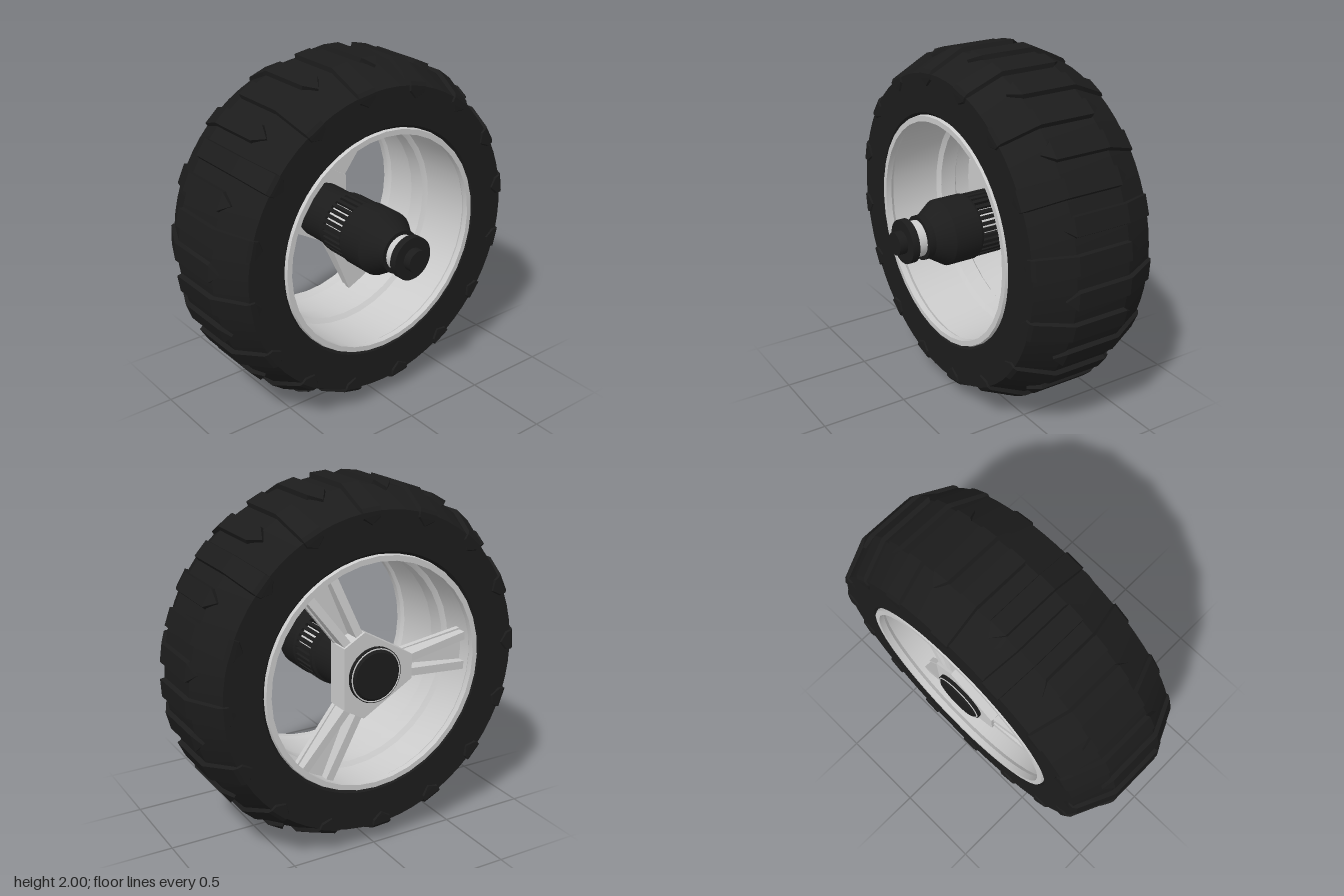
import * as THREE from 'three';
import { toCreasedNormals } from 'three/addons/utils/BufferGeometryUtils.js';

const MID = -0.133; // z of the tyre's middle plane

export function createModel() {
  const grey = new THREE.MeshStandardMaterial({ color: 0xcccccc });
  const black = new THREE.MeshStandardMaterial({ color: 0x1c1c1c });
  const wheel = new THREE.Group();
  wheel.name = 'wheel';
  wheel.position.y = 1;

  function add(parent, name, geometry, material) {
    const mesh = new THREE.Mesh(geometry, material);
    mesh.name = name;
    parent.add(mesh);
    return mesh;
  }

  // Turned part around the z axis; profile points are [radius, z]
  function turned(profile, segments) {
    const pts = profile.map(([r, z]) => new THREE.Vector2(r, z));
    return toCreasedNormals(new THREE.LatheGeometry(pts, segments).rotateX(Math.PI / 2), 0.4);
  }

  // Tapered bar along +x; each end is [yMin, yMax, zMin, zMax]
  function bar(x0, x1, end0, end1) {
    const g = new THREE.BoxGeometry(1, 1, 1);
    const p = g.attributes.position;
    for (let i = 0; i < p.count; i++) {
      const e = p.getX(i) < 0 ? end0 : end1;
      p.setXYZ(i, p.getX(i) < 0 ? x0 : x1, e[p.getY(i) < 0 ? 0 : 1], e[p.getZ(i) < 0 ? 2 : 3]);
    }
    return toCreasedNormals(g, 0.3);
  }

  // Tread lug: stations [z, radius, halfWidth] from the crown tip, over the shoulder, down the sidewall
  function lugGeometry() {
    const rows = [
      [-0.225, 0.968, 0], [-0.165, 1, 0.05], [0.165, 1, 0.05], [0.365, 0.908, 0.055],
      [0.38, 0.888, 0.055], [0.38, 0.86, 0.05], [0.377, 0.82, 0],
    ];
    const pos = [], index = [];
    rows.forEach(([z, r, w], i) => {
      const baseR = 0.6 + (r - 0.6) * 0.92, baseZ = z * 0.93;
      const corners = [[baseR, baseZ, -w * 1.15], [r, z, -w], [r, z, w], [baseR, baseZ, w * 1.15]];
      for (const [cr, cz, cw] of corners) pos.push(cr * Math.cos(cw / cr), cr * Math.sin(cw / cr), cz);
      if (i === rows.length - 1) return;
      for (let k = 0; k < 3; k++) {
        const a = i * 4 + k;
        index.push(a, a + 1, a + 5, a, a + 5, a + 4);
      }
    });
    const g = new THREE.BufferGeometry();
    g.setAttribute('position', new THREE.Float32BufferAttribute(pos, 3));
    g.setIndex(index);
    return toCreasedNormals(g, 0.3);
  }

  // Tyre carcass
  const tyre = new THREE.Group();
  tyre.name = 'tyre';
  tyre.position.z = MID;
  wheel.add(tyre);
  add(tyre, 'tyreBody', turned([
    [0.65, -0.35], [0.67, -0.37], [0.885, -0.37], [0.975, -0.165],
    [0.975, 0.165], [0.885, 0.37], [0.67, 0.37], [0.65, 0.35],
  ], 64), black);

  // Interleaved lugs reaching in from the front and back shoulders
  const frontLug = lugGeometry();
  const backLug = frontLug.clone().rotateX(Math.PI);
  const LUGS = 16;
  for (let i = 0; i < LUGS; i++) {
    const step = (i / LUGS) * Math.PI * 2;
    add(tyre, 'frontLug', frontLug, black).rotation.z = step + THREE.MathUtils.degToRad(8.2);
    add(tyre, 'backLug', backLug, black).rotation.z = step + THREE.MathUtils.degToRad(-3);
  }

  // Rim barrel with lips and an inner ridge
  const rim = add(wheel, 'rim', turned([
    [0.622, -0.375], [0.652, -0.375], [0.66, -0.345], [0.66, 0.345], [0.652, 0.375],
    [0.622, 0.375], [0.622, 0.34], [0.636, 0.32], [0.636, 0.02], [0.61, 0],
    [0.61, -0.1], [0.636, -0.12], [0.636, -0.32], [0.622, -0.34], [0.622, -0.375],
  ], 36), grey);
  rim.position.z = MID;

  // Hub: a triangle with cut corners
  const hubShape = new THREE.Shape();
  for (let i = 0; i < 3; i++) {
    const a = Math.PI / 3 + (i * Math.PI * 2) / 3;
    for (const side of [-1, 1]) {
      const x = 0.24 * Math.cos(a) - side * 0.07 * Math.sin(a);
      const y = 0.24 * Math.sin(a) + side * 0.07 * Math.cos(a);
      if (i === 0 && side < 0) hubShape.moveTo(x, y);
      else hubShape.lineTo(x, y);
    }
  }
  const hub = new THREE.ExtrudeGeometry(hubShape, { depth: 0.14, bevelEnabled: false });
  add(wheel, 'hub', hub.translate(0, 0, -0.475), grey);

  // Three spokes: a flat front plate with two diverging ribs behind it
  const plate = bar(0.2, 0.635, [-0.064, 0.064, -0.375, -0.345], [-0.123, 0.123, -0.375, -0.345]);
  const ribs = [
    bar(0.2, 0.635, [0.014, 0.058, -0.465, -0.37], [0.065, 0.112, -0.42, -0.37]),
    bar(0.2, 0.635, [-0.058, -0.014, -0.465, -0.37], [-0.112, -0.065, -0.42, -0.37]),
  ];
  for (let i = 0; i < 3; i++) {
    const spoke = new THREE.Group();
    spoke.name = 'spoke';
    spoke.rotation.z = Math.PI / 3 + (i * Math.PI * 2) / 3;
    add(spoke, 'spokePlate', plate, grey);
    for (const rib of ribs) add(spoke, 'spokeRib', rib, grey);
    wheel.add(spoke);
  }

  // Rear hub cap with a thin bright ring
  add(wheel, 'hubCap', turned([
    [0, -0.508], [0.13, -0.508], [0.145, -0.496], [0.155, -0.496], [0.155, -0.46],
  ], 32), black);
  add(wheel, 'hubCapRing', new THREE.TorusGeometry(0.147, 0.004, 6, 32).translate(0, 0, -0.497), grey);

  // Axle: rear sleeve, ribbed collar, tapered housing and stepped tip
  add(wheel, 'axleSleeve', turned([
    [0.15, -0.345], [0.165, -0.335], [0.165, -0.13], [0.178, -0.12], [0.178, -0.09], [0.15, -0.09],
  ], 32), black);
  add(wheel, 'collarCore', turned([[0.16, -0.1], [0.16, 0.08]], 32), grey);
  const collarRib = new THREE.BoxGeometry(0.025, 0.02, 0.16).translate(0.168, 0, -0.01);
  for (let i = 0; i < 32; i++) {
    add(wheel, 'collarRib', collarRib, black).rotation.z = (i / 32) * Math.PI * 2;
  }
  add(wheel, 'axleHousing', turned([
    [0.15, 0.065], [0.18, 0.065], [0.187, 0.08], [0.187, 0.24], [0.125, 0.335],
    [0.125, 0.376], [0, 0.376],
  ], 32), black);
  add(wheel, 'axleNeck', turned([[0.102, 0.37], [0.102, 0.44]], 32), grey);
  add(wheel, 'axleTip', turned([
    [0, 0.434], [0.124, 0.434], [0.124, 0.476], [0.065, 0.476], [0.065, 0.524], [0, 0.524],
  ], 32), black);

  const model = new THREE.Group();
  model.name = 'wheelAssembly';
  model.add(wheel);
  return model;
}
